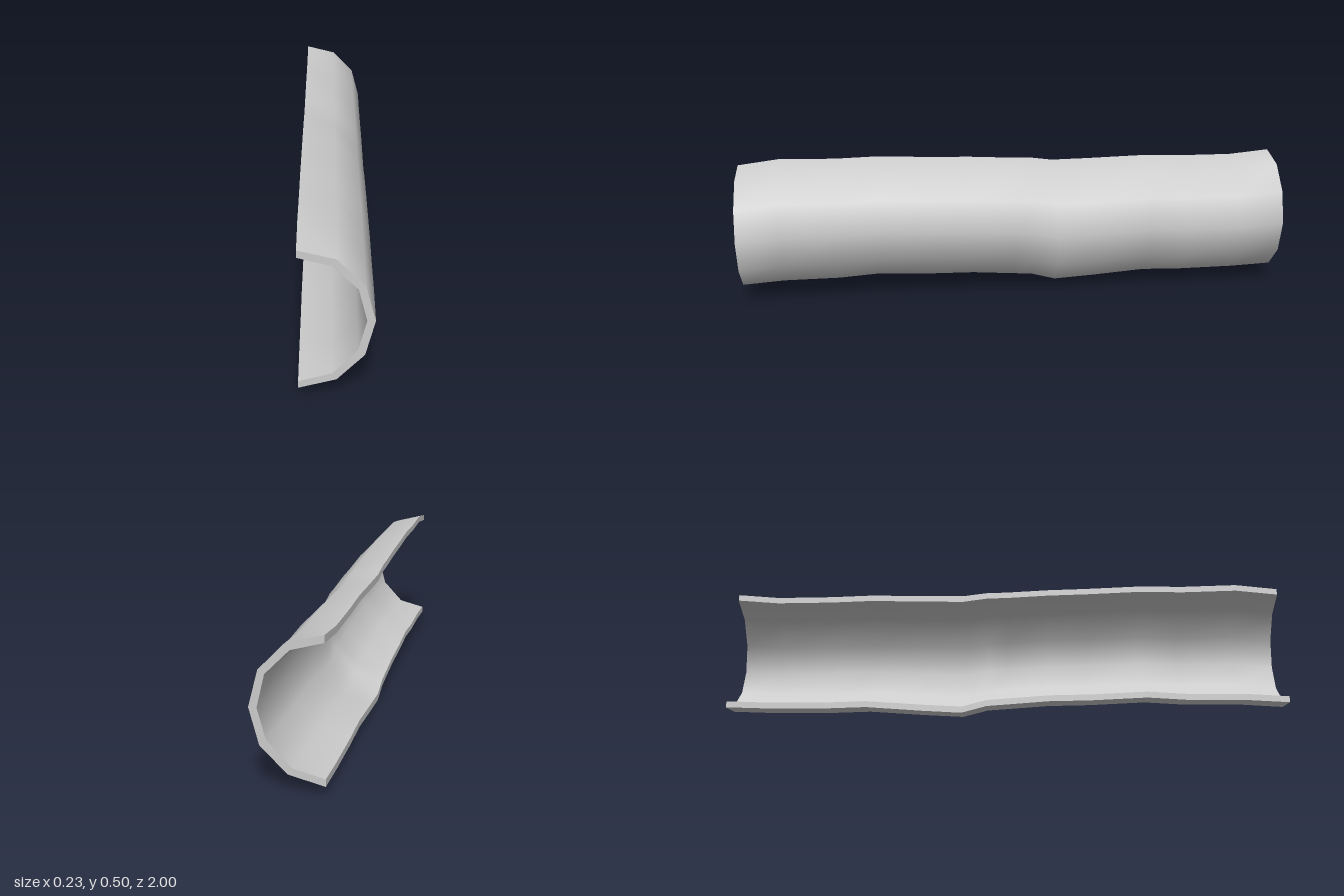
import * as THREE from 'three';

// Half-pipe cross-section at the ends, top lip to bottom lip
const outer = [[-0.113, 0.485], [0, 0.457], [0.083, 0.372], [0.113, 0.258], [0.083, 0.144], [0, 0.06], [-0.113, 0.031]];
const inner = [[-0.113, 0.462], [-0.012, 0.435], [0.063, 0.36], [0.088, 0.258], [0.063, 0.163], [-0.012, 0.081], [-0.113, 0.054]];

// Stations along the length: z, rise of the top lip, rise of the bottom lip
const stations = [
  [1, 0, 0], [0.85, 0.019, 0.01], [0.65, 0.014, 0.012], [0.5, 0.018, 0.023],
  [0.3, 0.01, 0.014], [0.15, 0.006, 0.012], [0, -0.002, 0.001], [-0.07, -0.003, -0.004],
  [-0.16, -0.015, -0.029], [-0.3, -0.013, -0.02], [-0.5, -0.008, -0.004], [-0.65, -0.013, -0.008],
  [-0.85, -0.014, -0.006], [-1, 0, 0],
];

// Places a profile at a station, blending the two rises over its height
function section(profile, [z, top, bottom]) {
  return profile.map(([x, y]) => {
    const t = (y - 0.031) / 0.454;
    return [x, y + THREE.MathUtils.lerp(bottom, top, t), z];
  });
}

// Skins a grid of points, smooth inside the sheet
function sheet(name, rows, material) {
  const n = rows[0].length;
  const index = [];
  for (let i = 0; i < rows.length - 1; i++) {
    for (let j = 0; j < n - 1; j++) {
      const a = i * n + j, b = a + n;
      index.push(a, a + 1, b, a + 1, b + 1, b);
    }
  }
  const geometry = new THREE.BufferGeometry();
  geometry.setAttribute('position', new THREE.Float32BufferAttribute(rows.flat(2), 3));
  geometry.setIndex(index);
  geometry.computeVertexNormals();
  const mesh = new THREE.Mesh(geometry, material);
  mesh.name = name;
  return mesh;
}

export function createModel() {
  const group = new THREE.Group();
  group.name = 'halfPipe';
  const material = new THREE.MeshStandardMaterial({ color: 0xcccccc });
  const sweep = (name, profile) => group.add(sheet(name, stations.map((s) => section(profile, s)), material));

  // Walls and the two long lips
  sweep('outerWall', outer);
  sweep('innerWall', [...inner].reverse());
  sweep('topLip', [inner[0], outer[0]]);
  sweep('bottomLip', [outer.at(-1), inner.at(-1)]);

  // End rims
  const first = stations[0], last = stations.at(-1);
  group.add(sheet('frontRim', [section(inner, first), section(outer, first)], material));
  group.add(sheet('backRim', [section(outer, last), section(inner, last)], material));
  return group;
}
